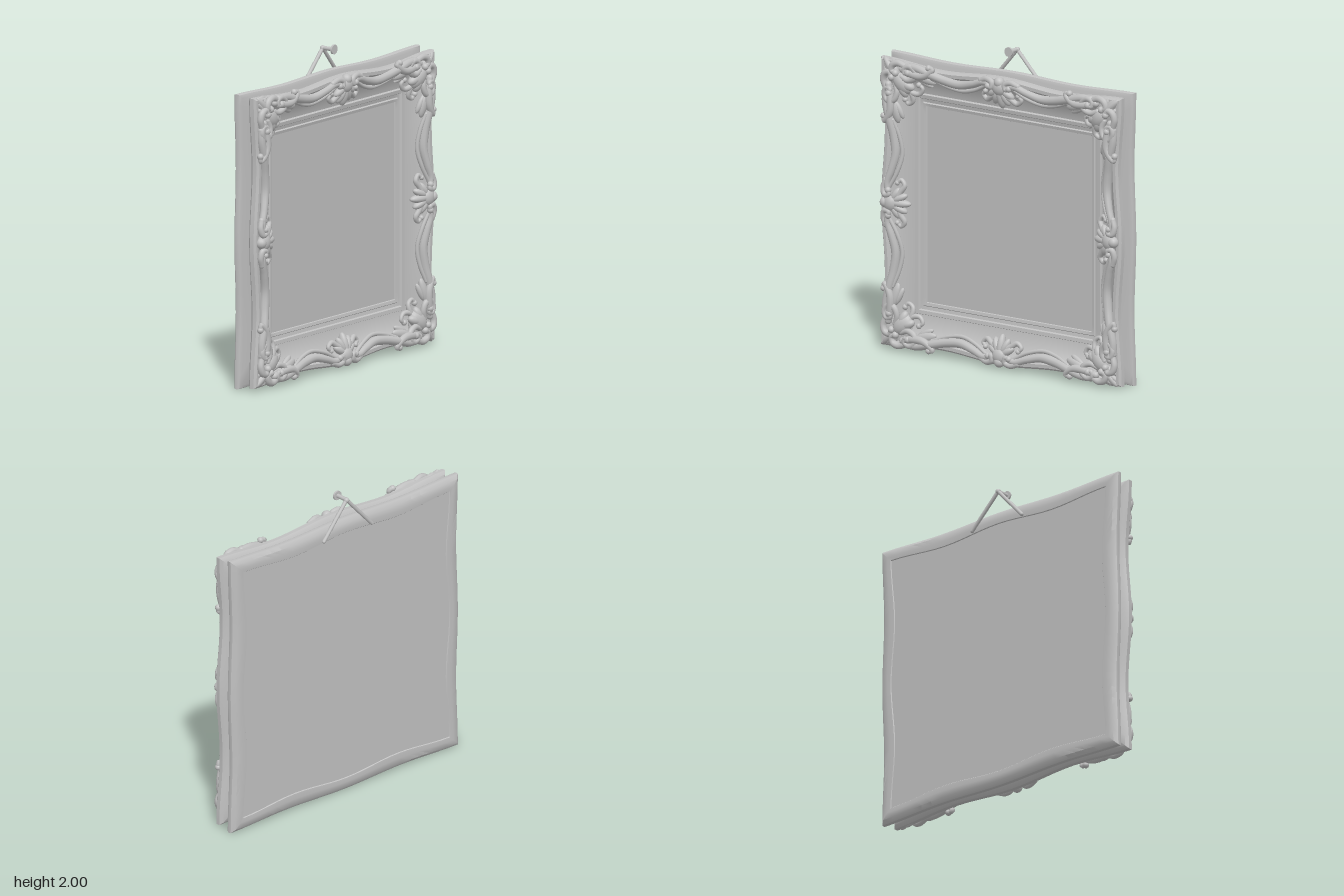
import * as THREE from 'three';
import { toCreasedNormals } from 'three/addons/utils/BufferGeometryUtils.js';

const CY = 0.922; // height of the frame centre

// Square ring lofted from a profile of [inset, z, waviness] running from the inside outwards
function ringGeometry(hx, hy, profile, steps = 24) {
  const pos = [], index = [], n = steps * 4;
  for (const [d, z, w] of profile) {
    for (let j = 0; j < n; j++) {
      const side = Math.floor(j / steps);
      const t = -1 + (2 * (j % steps)) / steps;
      const wave = w * (0.5 - 0.5 * Math.cos(2 * Math.PI * t));
      const X = hx - d, Y = hy - d;
      const [x, y] = [
        [X - wave, t * Y], [-t * X, Y - wave], [-X + wave, -t * Y], [t * X, -Y + wave],
      ][side];
      pos.push(x, y + CY, z);
    }
  }
  for (let i = 0; i < profile.length - 1; i++) {
    for (let j = 0; j < n; j++) {
      const k = (j + 1) % n;
      const a = i * n + j, b = a + n, c = (i + 1) * n + k, d = i * n + k;
      index.push(a, b, c, a, c, d);
    }
  }
  const g = new THREE.BufferGeometry();
  g.setAttribute('position', new THREE.Float32BufferAttribute(pos, 3));
  g.setIndex(index);
  return toCreasedNormals(g, 0.6);
}

// Tube through points whose radius runs r0 -> r1 -> r2
function taperedTube(points, r0, r1, r2, seg = 36, sides = 10) {
  const curve = new THREE.CatmullRomCurve3(points);
  const g = new THREE.TubeGeometry(curve, seg, 1, sides);
  const p = g.attributes.position, v = new THREE.Vector3();
  for (let i = 0; i <= seg; i++) {
    const t = i / seg, c = curve.getPointAt(t);
    const r = t < 0.5 ? THREE.MathUtils.lerp(r0, r1, t * 2) : THREE.MathUtils.lerp(r1, r2, t * 2 - 1);
    for (let j = 0; j <= sides; j++) {
      const k = i * (sides + 1) + j;
      v.fromBufferAttribute(p, k).sub(c).multiplyScalar(r).add(c);
      p.setXYZ(k, v.x, v.y, v.z);
    }
  }
  return g;
}

export function createModel() {
  const model = new THREE.Group();
  const plaster = new THREE.MeshStandardMaterial({ color: 0xc0c0c0 });
  plaster.name = 'greyPlaster';

  const add = (parent, name, geometry) => {
    const m = new THREE.Mesh(geometry, plaster);
    m.name = name;
    parent.add(m);
    return m;
  };
  const ball = (parent, name, c, r) =>
    add(parent, name, new THREE.SphereGeometry(r, 14, 10)).position.copy(c);
  // Flattened leaf lobe lying between two points
  const lobe = (parent, name, a, b, width, depth) => {
    const m = add(parent, name, new THREE.SphereGeometry(1, 14, 10));
    const dir = b.clone().sub(a);
    const y = dir.clone().normalize();
    const x = new THREE.Vector3().crossVectors(y, new THREE.Vector3(0, 0, 1)).normalize();
    const z = new THREE.Vector3().crossVectors(x, y);
    m.quaternion.setFromRotationMatrix(new THREE.Matrix4().makeBasis(x, y, z));
    m.position.copy(a).add(b).multiplyScalar(0.5);
    m.scale.set(width, dir.length() / 2, depth);
  };

  // Concave moulding with stepped inner rim and wavy outer lip
  add(model, 'moulding', ringGeometry(0.925, 0.905, [
    [0.295, -0.034, 0], [0.29, -0.018, 0], [0.272, -0.014, 0], [0.266, -0.024, 0],
    [0.246, -0.02, 0], [0.24, -0.008, 0], [0.218, -0.005, 0], [0.212, -0.02, 0],
    [0.19, -0.016, 0], [0.14, 0, 0.005], [0.09, 0.025, 0.015], [0.055, 0.055, 0.025],
    [0.035, 0.072, 0.028], [0.015, 0.072, 0.028], [0.003, 0.058, 0.028], [0.002, 0.03, 0.028],
    [0.02, 0.012, 0.025], [0.1, -0.012, 0.01], [0.21, -0.042, 0],
  ]));

  // Flat picture panel
  add(model, 'picturePanel', new THREE.BoxGeometry(1.29, 1.25, 0.012)).position.set(0, CY, -0.033);

  // Backing frame and board
  add(model, 'backingFrame', ringGeometry(0.93, 0.918, [
    [0.3, -0.04, 0], [0.025, -0.04, 0.014], [0.006, -0.048, 0.014], [0, -0.06, 0.014],
    [0.002, -0.08, 0.014], [0.025, -0.1, 0.014], [0.06, -0.105, 0.02], [0.085, -0.103, 0.028],
    [0.09, -0.097, 0.028],
  ]));
  add(model, 'backBoard', new THREE.BoxGeometry(1.7, 1.67, 0.05)).position.set(0, CY, -0.073);

  // Carving for one half of one side: a runs along the side, b outwards from the centre
  function carveHalf(side, s) {
    const group = new THREE.Group();
    group.name = 'carving';
    model.add(group);
    const c = Math.round(Math.cos(side * Math.PI / 2)), n = Math.round(Math.sin(side * Math.PI / 2));
    const P = (a, b, z) => new THREE.Vector3(c * s * a - n * b, n * s * a + c * b + CY, z);
    const path = (list) => list.map((q) => P(...q));
    const scroll = (name, list, r0, r1, r2, bead) => {
      const pts = path(list);
      add(group, name, taperedTube(pts, r0, r1, r2));
      ball(group, name + 'Start', pts[0], r0);
      ball(group, name + 'End', pts[pts.length - 1], bead || r2);
    };

    // Wavy rail
    scroll('rail', [[0.05, 0.85, 0.08], [0.12, 0.86, 0.08], [0.2, 0.835, 0.072], [0.31, 0.81, 0.06],
      [0.42, 0.82, 0.064], [0.53, 0.845, 0.078], [0.63, 0.87, 0.08], [0.7, 0.87, 0.078]],
    0.018, 0.03, 0.024);
    scroll('railBead', [[0.1, 0.845, 0.075], [0.2, 0.795, 0.06], [0.31, 0.77, 0.045], [0.42, 0.785, 0.055],
      [0.52, 0.82, 0.075]], 0.012, 0.014, 0.012);

    // Leaf curling off the corner along the rail
    scroll('leafScroll', [[0.74, 0.85, 0.08], [0.66, 0.83, 0.088], [0.58, 0.83, 0.09], [0.53, 0.855, 0.088],
      [0.51, 0.88, 0.082], [0.54, 0.885, 0.082]], 0.022, 0.026, 0.014, 0.02);
    lobe(group, 'railLeaf', P(0.66, 0.83, 0.075), P(0.5, 0.79, 0.055), 0.03, 0.022);
    lobe(group, 'railLeaf', P(0.64, 0.81, 0.065), P(0.53, 0.76, 0.045), 0.02, 0.018);

    // Corner volutes
    scroll('cornerVolute', [[0.75, 0.8, 0.075], [0.7, 0.785, 0.08], [0.65, 0.805, 0.085], [0.64, 0.85, 0.086],
      [0.68, 0.875, 0.088], [0.72, 0.86, 0.09], [0.715, 0.83, 0.092], [0.69, 0.835, 0.094]],
    0.018, 0.02, 0.014, 0.022);
    scroll('cornerScroll', [[0.72, 0.87, 0.08], [0.77, 0.885, 0.085], [0.81, 0.87, 0.088], [0.82, 0.835, 0.088],
      [0.79, 0.82, 0.09]], 0.02, 0.022, 0.016, 0.022);
    scroll('cornerHook', [[0.74, 0.74, 0.05], [0.69, 0.7, 0.04], [0.645, 0.7, 0.03], [0.625, 0.735, 0.03],
      [0.65, 0.755, 0.035]], 0.02, 0.016, 0.011, 0.018);
    // Corner shell ribs
    for (const [a, b, w] of [[0.83, 0.895, 0.022], [0.875, 0.895, 0.022]])
      lobe(group, 'cornerShellRib', P(0.78, 0.78, 0.07), P(a, b, 0.06), w, 0.024);
    lobe(group, 'cornerPetal', P(0.77, 0.77, 0.07), P(0.67, 0.73, 0.055), 0.03, 0.03);

    // Centre ornament side curls
    scroll('centreCurl', [[0.02, 0.8, 0.07], [0.07, 0.775, 0.06], [0.115, 0.75, 0.048], [0.145, 0.775, 0.048],
      [0.125, 0.8, 0.055]], 0.016, 0.018, 0.011, 0.016);
    scroll('centreVolute', [[0.14, 0.87, 0.08], [0.09, 0.885, 0.085], [0.05, 0.87, 0.09], [0.055, 0.84, 0.092],
      [0.08, 0.845, 0.09]], 0.018, 0.02, 0.014, 0.02);
    lobe(group, 'centreShellRib', P(0.01, 0.83, 0.075), P(0.095, 0.78, 0.055), 0.024, 0.026);
    lobe(group, 'centreShellRib', P(0.01, 0.83, 0.075), P(0.055, 0.73, 0.045), 0.024, 0.028);

    // Single pieces on the side axis and at the corner diagonal
    if (s > 0) {
      lobe(group, 'centreShellRib', P(0, 0.85, 0.078), P(0, 0.705, 0.04), 0.026, 0.032);
      lobe(group, 'centreBoss', P(0, 0.89, 0.075), P(0, 0.79, 0.075), 0.055, 0.036);
      ball(group, 'centreBead', P(0, 0.875, 0.08), 0.034);
      lobe(group, 'cornerShellRib', P(0.78, 0.78, 0.07), P(0.905, 0.895, 0.06), 0.024, 0.028);
      lobe(group, 'cornerBoss', P(0.81, 0.81, 0.07), P(0.7, 0.7, 0.045), 0.055, 0.045);
      lobe(group, 'cornerBase', P(0.89, 0.88, 0.055), P(0.72, 0.72, 0.03), 0.085, 0.03);
    }
  }
  for (let side = 0; side < 4; side++) for (const s of [1, -1]) carveHalf(side, s);

  // Nail and hanging wires
  const nail = new THREE.Group();
  nail.name = 'nail';
  model.add(nail);
  const rod = (name, r, z0, z1) => {
    const m = add(nail, name, new THREE.CylinderGeometry(r, r, z1 - z0, 16));
    m.rotation.x = Math.PI / 2;
    m.position.set(0, 1.97, (z0 + z1) / 2);
  };
  rod('nailShaft', 0.013, -0.105, -0.015);
  rod('nailHead', 0.03, -0.022, -0.01);
  ball(nail, 'wireKnot', new THREE.Vector3(0, 1.968, -0.1), 0.018);
  for (const s of [1, -1]) {
    const a = new THREE.Vector3(0, 1.97, -0.1), b = new THREE.Vector3(s * 0.195, 1.755, -0.112);
    add(model, 'hangingWire', new THREE.TubeGeometry(new THREE.LineCurve3(a, b), 1, 0.012, 10));
    ball(model, 'wireEnd', b, 0.012);
  }
  return model;
}
